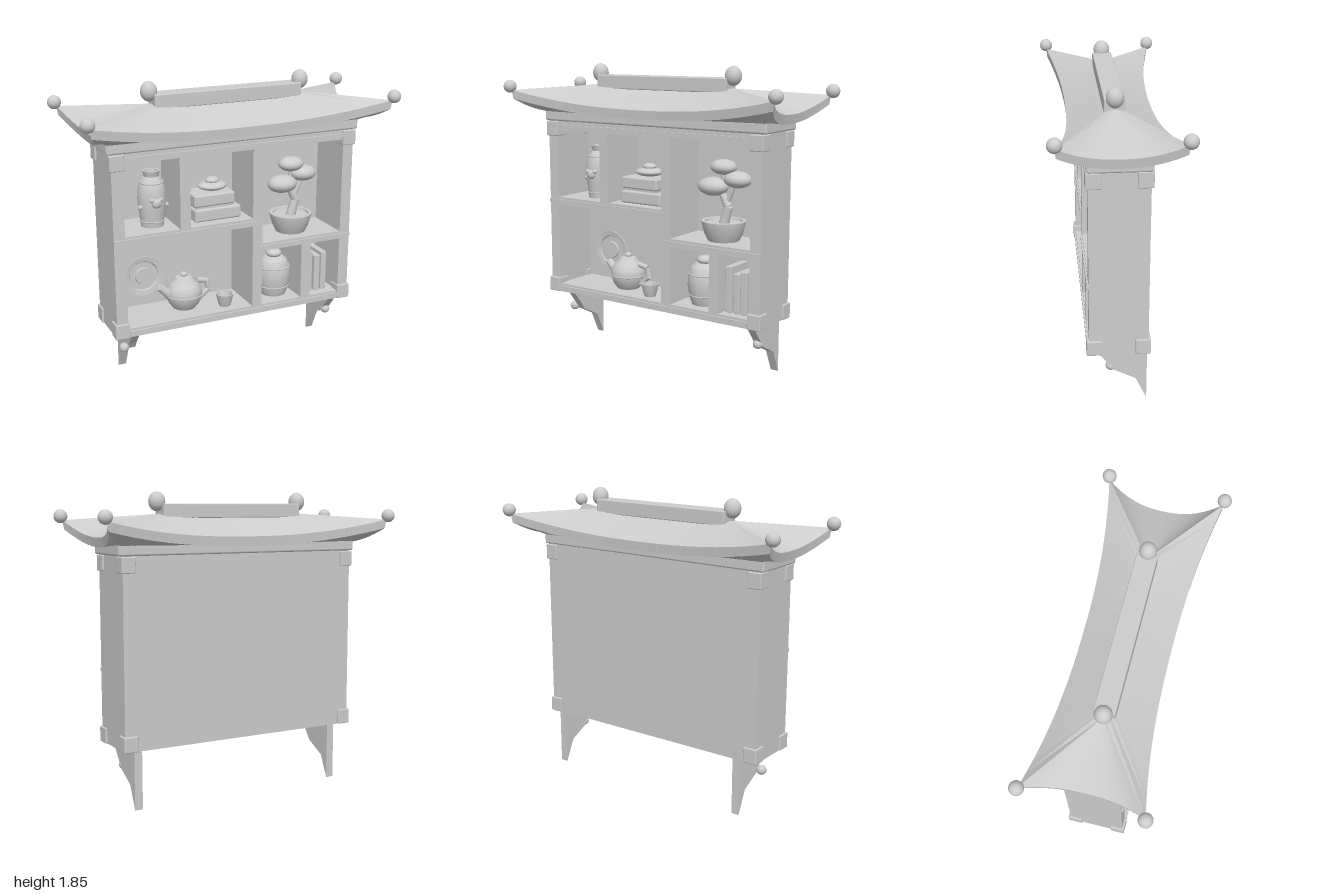
import * as THREE from 'three';
import { toCreasedNormals } from 'three/addons/utils/BufferGeometryUtils.js';
import { RoundedBoxGeometry } from 'three/addons/geometries/RoundedBoxGeometry.js';

const clay = new THREE.MeshStandardMaterial({ color: 0xcccccc });
clay.name = 'plain grey';

export function createModel() {
  const root = new THREE.Group();
  root.name = 'wallDisplayCabinet';

  const add = (name, geo, x = 0, y = 0, z = 0, parent = root) => {
    const m = new THREE.Mesh(geo, clay);
    m.name = name;
    m.position.set(x, y, z);
    parent.add(m);
    return m;
  };
  // Box given by its limits, optionally rounded
  const box = (name, x0, x1, y0, y1, z0, z1, r = 0, parent = root) => add(name,
    r ? new RoundedBoxGeometry(x1 - x0, y1 - y0, z1 - z0, 2, r) : new THREE.BoxGeometry(x1 - x0, y1 - y0, z1 - z0),
    (x0 + x1) / 2, (y0 + y1) / 2, (z0 + z1) / 2, parent);
  const ball = (name, x, y, z, rx, ry = rx, rz = rx, parent = root) => {
    const m = add(name, new THREE.SphereGeometry(1, 24, 16), x, y, z, parent);
    m.scale.set(rx, ry, rz);
    return m;
  };
  const lathe = (name, pts, x, y, z, parent = root) => add(name,
    toCreasedNormals(new THREE.LatheGeometry(pts.map(p => new THREE.Vector2(...p)), 32), 0.6), x, y, z, parent);
  const tube = (name, pts, r, parent, closedEnds = true) => {
    const v = pts.map(p => new THREE.Vector3(...p));
    for (let i = 0; i < v.length - 1; i++) {
      const d = v[i + 1].clone().sub(v[i]);
      const m = add(name, new THREE.CylinderGeometry(r[i + 1], r[i], d.length(), 12, 1, !closedEnds), 0, 0, 0, parent);
      m.position.copy(v[i]).addScaledVector(d, 0.5);
      m.quaternion.setFromUnitVectors(new THREE.Vector3(0, 1, 0), d.normalize());
    }
  };
  const group = name => {
    const g = new THREE.Group();
    g.name = name;
    root.add(g);
    return g;
  };

  // Cabinet shell
  const F = 0.17, B = -0.17;
  box('backPanel', -0.79, 0.79, 0.35, 1.48, B, -0.14);
  for (const s of [-1, 1]) box('sidePanel', s < 0 ? -0.79 : 0.72, s < 0 ? -0.72 : 0.79, 0.35, 1.48, B, F);
  box('bottomBoard', -0.72, 0.72, 0.35, 0.405, B, F);
  box('topBoard', -0.72, 0.72, 1.42, 1.48, B, F);
  box('eavesBeam', -0.815, 0.815, 1.48, 1.55, -0.18, 0.18, 0.012);

  // Dividers and shelves
  box('upperDivider', -0.375, -0.31, 0.985, 1.42, -0.14, F);
  box('middleDivider', 0.1, 0.165, 0.405, 1.42, -0.14, F);
  box('lowerDivider', 0.445, 0.51, 0.405, 0.765, -0.14, F);
  box('leftShelf', -0.72, 0.1, 0.935, 0.985, -0.14, F);
  box('rightShelf', 0.165, 0.72, 0.765, 0.815, -0.14, F);

  // Front trim strips
  for (const [x0, x1, y] of [[-0.79, 0.135, 0.96], [0.135, 0.79, 0.79], [-0.72, 0.72, 0.38], [-0.72, 0.72, 1.447]])
    box('trimStrip', x0, x1, y - 0.011, y + 0.011, F - 0.01, F + 0.01);

  // Corner blocks
  for (const x of [-0.757, 0.757]) for (const y of [0.397, 1.43]) for (const z of [-0.14, 0.14])
    add('cornerBlock', new RoundedBoxGeometry(0.088, 0.094, 0.088, 2, 0.006), x, y, z);

  // Support brackets below
  const profile = new THREE.Shape([[-0.17, 0], [-0.105, 0.14], [0.03, 0.21], [0.06, 0.255], [0.137, 0.352], [-0.17, 0.352]]
    .map(p => new THREE.Vector2(-p[0], p[1])));
  for (const x of [-0.685, 0.685]) {
    const g = new THREE.ExtrudeGeometry(profile, { depth: 0.05, bevelEnabled: false });
    g.rotateY(Math.PI / 2);
    add('bracket', g, x, 0, 0);
  }
  for (const s of [-1, 1]) ball('bracketKnob', s * 0.71, 0.225, 0.04, 0.03);

  // Upswept hipped roof: inner, lower, upper and ridge rings joined in strips
  const N = 20, ring = [];
  const point = (side, t) => {
    const k = Math.abs(t) ** 2.3, s = side < 2 ? 1 : -1, y = 1.582 + 0.095 * k;
    const long = side % 2 === 0;
    const x = long ? s * t * 0.95 : s * (0.875 + 0.075 * k);
    const z = long ? s * (0.252 + 0.09 * k) : -s * t * 0.342;
    const ridge = long ? s * t * 0.48 : s * 0.48;
    return [
      [long ? s * t * 0.8 : s * 0.8, 1.535, long ? s * 0.17 : -s * t * 0.17],
      [x * 0.99, y - 0.055, z * 0.985], [x, y, z], [ridge, 1.715, 0],
    ];
  };
  for (let side = 0; side < 4; side++) for (let i = 0; i < N; i++) ring.push(point(side, -1 + 2 * i / N));
  const verts = [];
  ring.forEach((a, i) => {
    const b = ring[(i + 1) % ring.length];
    for (let r = 0; r < 3; r++) {
      verts.push(...a[r], ...b[r], ...b[r + 1]);
      if (r < 2 || Math.abs(a[3][0] - b[3][0]) > 1e-6) verts.push(...a[r], ...b[r + 1], ...a[r + 1]);
    }
  });
  const roof = new THREE.BufferGeometry();
  roof.setAttribute('position', new THREE.Float32BufferAttribute(verts, 3));
  add('roof', toCreasedNormals(roof, 0.4));
  box('ridgeBeam', -0.475, 0.475, 1.69, 1.775, -0.06, 0.06, 0.006);
  for (const s of [-1, 1]) {
    ball('ridgeFinial', s * 0.492, 1.787, 0, 0.05, 0.058, 0.05);
    for (const z of [-0.343, 0.343]) ball('cornerFinial', s * 0.96, 1.7, z, 0.041);
  }

  // Tall vase with a blossom ornament
  const vase = group('vase');
  lathe('vaseBody', [[0, 0], [0.068, 0], [0.072, 0.035], [0.08, 0.1], [0.086, 0.17], [0.08, 0.235], [0.065, 0.28],
    [0.043, 0.305], [0.052, 0.34], [0.04, 0.34], [0.034, 0.3], [0, 0.3]], -0.498, 0.985, 0.02, vase);
  for (const [y, r] of [[0.035, 0.072], [0.27, 0.069]]) {
    const band = add('vaseBand', new THREE.TorusGeometry(r, 0.005, 8, 32), -0.498, 0.985 + y, 0.02, vase);
    band.rotation.x = Math.PI / 2;
  }
  ball('blossom', -0.498, 1.142, 0.105, 0.03, 0.03, 0.02, vase);
  for (const [x, y, z] of [[-0.082, -0.03, 0.03], [0.082, -0.03, 0.03], [-0.027, 0.02, 0.082], [0.027, 0.02, 0.082]])
    ball('blossomBud', -0.498 + x, 1.142 + y, 0.02 + z, 0.015, 0.015, 0.015, vase);

  // Stacked boxes with a small lidded dish
  const stack = group('stackedBoxes');
  box('lowerBox', -0.255, 0.048, 0.987, 1.065, -0.09, 0.11, 0.012, stack);
  box('upperBox', -0.255, 0.013, 1.077, 1.152, -0.08, 0.1, 0.012, stack);
  box('spacer', -0.24, 0, 1.06, 1.08, -0.07, 0.09, 0, stack);
  ball('dish', -0.103, 1.182, 0.01, 0.09, 0.028, 0.08, stack);
  ball('dishKnob', -0.103, 1.215, 0.01, 0.044, 0.022, 0.04, stack);

  // Bonsai
  const bonsai = group('bonsai');
  lathe('bonsaiPot', [[0, 0], [0.095, 0], [0.115, 0.04], [0.133, 0.105], [0.135, 0.12], [0.115, 0.12], [0.11, 0.105], [0, 0.105]],
    0.445, 0.815, 0.01, bonsai);
  tube('trunk', [[0.445, 0.91, 0.01], [0.475, 1.02, 0.01], [0.425, 1.11, 0.01]], [0.032, 0.026, 0.02], bonsai);
  tube('branch', [[0.465, 1.04, 0.01], [0.53, 1.18, 0.01]], [0.015, 0.01], bonsai);
  tube('branch', [[0.43, 1.09, 0.01], [0.44, 1.25, 0.01]], [0.015, 0.01], bonsai);
  ball('foliage', 0.375, 1.135, 0.02, 0.097, 0.056, 0.08, bonsai);
  ball('foliage', 0.532, 1.185, 0, 0.087, 0.05, 0.075, bonsai);
  ball('foliage', 0.44, 1.255, 0.01, 0.083, 0.046, 0.07, bonsai);

  // Display plate on the back wall
  const plate = lathe('plate', [[0, 0], [0.08, 0], [0.128, 0.018], [0.128, 0.026], [0.097, 0.022], [0.092, 0.014], [0.056, 0.014],
    [0.052, 0.022], [0, 0.022]], -0.515, 0.605, -0.14);
  plate.rotation.x = Math.PI / 2;

  // Teapot
  const pot = group('teapot');
  const px = -0.29, pz = -0.01;
  lathe('teapotBody', [[0, 0], [0.072, 0], [0.098, 0.035], [0.115, 0.09], [0.11, 0.125], [0.088, 0.16], [0.062, 0.182],
    [0.05, 0.2], [0.02, 0.207], [0, 0.207]], px, 0.405, pz, pot);
  const belt = add('teapotBelt', new THREE.TorusGeometry(0.113, 0.006, 8, 32), px, 0.492, pz, pot);
  belt.rotation.x = Math.PI / 2;
  ball('lidKnob', px, 0.622, pz, 0.023, 0.016, 0.023, pot);
  tube('spout', [[px - 0.07, 0.475, pz], [px - 0.16, 0.56, pz]], [0.036, 0.023], pot);
  tube('teapotHandle', [[px + 0.085, 0.57, pz], [px + 0.155, 0.555, pz], [px + 0.165, 0.5, pz], [px + 0.1, 0.44, pz]],
    [0.017, 0.017, 0.017, 0.017], pot);

  // Cup
  lathe('cup', [[0, 0], [0.035, 0], [0.042, 0.02], [0.056, 0.08], [0.049, 0.08], [0.035, 0.02], [0, 0.02]], -0.05, 0.405, 0.08);

  // Lidded jar
  const jar = group('jar');
  lathe('jarBody', [[0, 0], [0.08, 0], [0.096, 0.045], [0.107, 0.12], [0.104, 0.18], [0.085, 0.235], [0.055, 0.258], [0, 0.258]],
    0.323, 0.405, 0.02, jar);
  for (const [y, r] of [[0.06, 0.098], [0.19, 0.101]]) {
    const band = add('jarBand', new THREE.TorusGeometry(r, 0.005, 8, 32), 0.323, 0.405 + y, 0.02, jar);
    band.rotation.x = Math.PI / 2;
  }
  ball('jarLid', 0.323, 0.68, 0.02, 0.051, 0.029, 0.051, jar);

  // Books
  for (const [x0, x1, y] of [[0.522, 0.562, 0.685], [0.576, 0.618, 0.647], [0.626, 0.665, 0.663]])
    box('book', x0, x1, 0.405, y, -0.08, 0.11, 0.005);

  return root;
}
